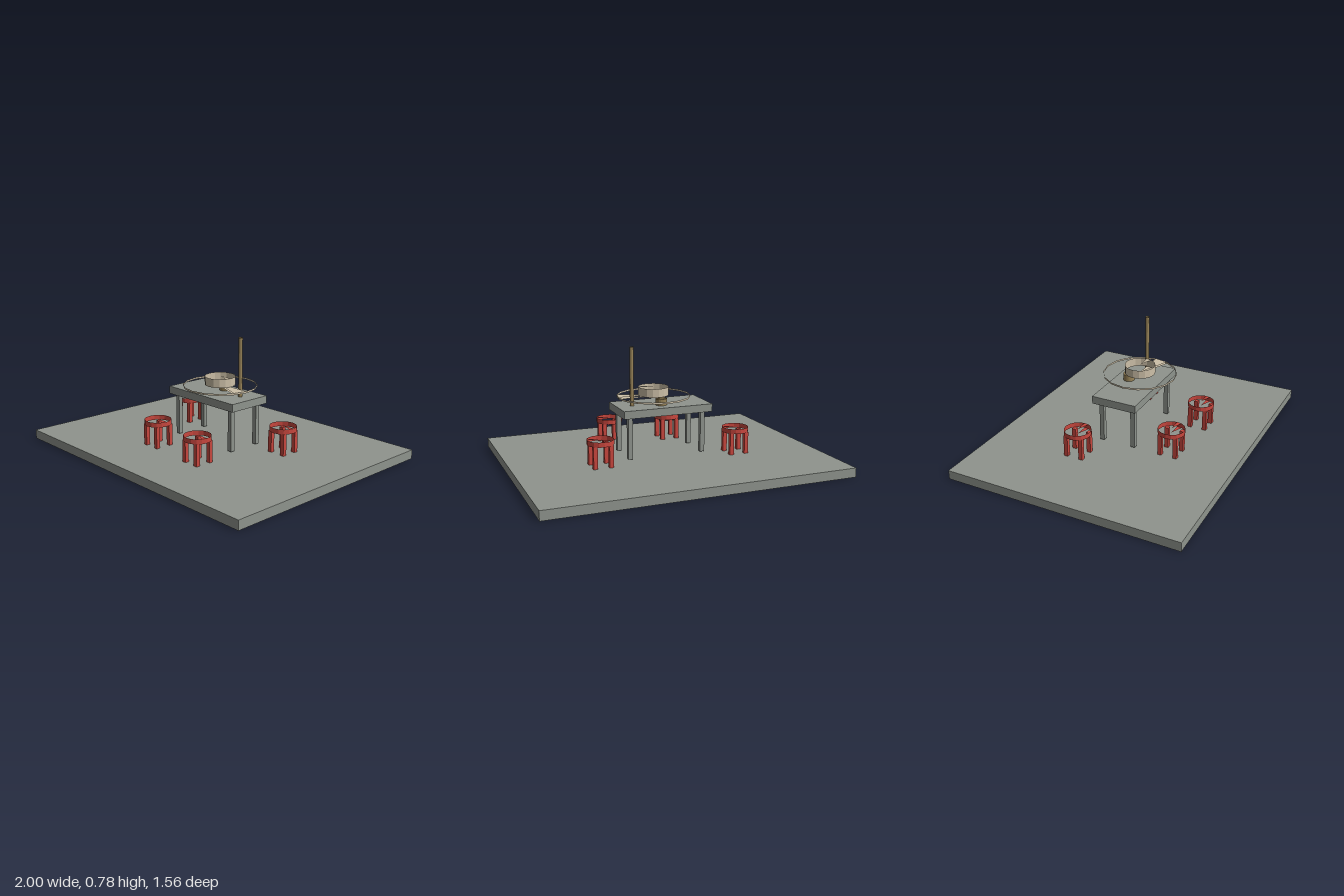
import * as THREE from 'three';

const SIDES = 16;

function makeMaterial(name, color, open = false) {
  const m = new THREE.MeshStandardMaterial({ color });
  m.name = name;
  if (open) m.side = THREE.DoubleSide;
  return m;
}

function addBox(parent, name, material, [w, h, d], [x, y, z]) {
  const mesh = new THREE.Mesh(new THREE.BoxGeometry(w, h, d), material);
  mesh.name = name;
  mesh.position.set(x, y, z);
  parent.add(mesh);
}

// Faceted open tube standing on y0, with one narrow wedge of each end filled
function addDrum(parent, name, material, r, y0, y1, x, z) {
  const drum = new THREE.Group();
  drum.name = name;
  drum.position.set(x, 0, z);

  const wallGeo = new THREE.CylinderGeometry(r, r, y1 - y0, SIDES, 1, true).toNonIndexed();
  wallGeo.computeVertexNormals();
  const wall = new THREE.Mesh(wallGeo, material);
  wall.name = name + 'Wall';
  wall.position.y = (y0 + y1) / 2;
  drum.add(wall);

  const a = (Math.PI * 2) / SIDES;
  const wedgeShape = new THREE.Shape([
    new THREE.Vector2(0, 0),
    new THREE.Vector2(r * Math.cos(a), -r * Math.sin(a)),
    new THREE.Vector2(r, 0),
  ]);
  const wedgeGeo = new THREE.ShapeGeometry(wedgeShape).rotateX(-Math.PI / 2);
  for (const y of [y0, y1]) {
    const wedge = new THREE.Mesh(wedgeGeo, material);
    wedge.name = name + 'Wedge';
    wedge.position.y = y;
    drum.add(wedge);
  }
  parent.add(drum);
}

// Four square legs mirrored about the middle
function addLegs(parent, name, material, width, y0, y1, dx, dz) {
  for (const sx of [-1, 1])
    for (const sz of [-1, 1])
      addBox(parent, name, material, [width, y1 - y0, width], [sx * dx, (y0 + y1) / 2, sz * dz]);
}

export function createModel() {
  const stone = makeMaterial('stone grey', 0x8f948d);
  const red = makeMaterial('stool red', 0xc9473e, true);
  const cream = makeMaterial('straw cream', 0xcdc0a8, true);
  const wood = makeMaterial('wood brown', 0x988357, true);

  const model = new THREE.Group();
  model.name = 'tableWithStools';

  // Ground slab
  addBox(model, 'ground', stone, [2, 0.06, 1.556], [0, 0.03, 0]);

  // Table
  const table = new THREE.Group();
  table.name = 'table';
  addBox(table, 'tableTop', stone, [0.606, 0.051, 0.303], [-0.002, 0.37, -0.003]);
  addLegs(table, 'tableLeg', stone, 0.03, 0.072, 0.345, 0.25, 0.11);
  model.add(table);

  // Stools
  for (const [x, z] of [[-0.465, -0.172], [-0.188, 0.346], [0.228, 0.373], [0.457, -0.146]]) {
    const stool = new THREE.Group();
    stool.name = 'stool';
    stool.position.set(x, 0, z);
    addDrum(stool, 'stoolSeat', red, 0.087, 0.202, 0.234, 0, 0);
    addLegs(stool, 'stoolLeg', red, 0.027, 0.06, 0.202, 0.052, 0.052);
    model.add(stool);
  }

  // Hat, cup and upright stick on the table
  const hat = new THREE.Group();
  hat.name = 'hat';
  addDrum(hat, 'hatBrim', cream, 0.24, 0.439, 0.451, 0.042, 0.01);
  addDrum(hat, 'hatCrown', cream, 0.1, 0.451, 0.507, 0.042, 0.01);
  model.add(hat);
  addDrum(model, 'cup', wood, 0.037, 0.396, 0.439, 0.015, -0.058);
  addDrum(model, 'stick', wood, 0.013, 0.396, 0.778, 0.201, -0.016);

  return model;
}
